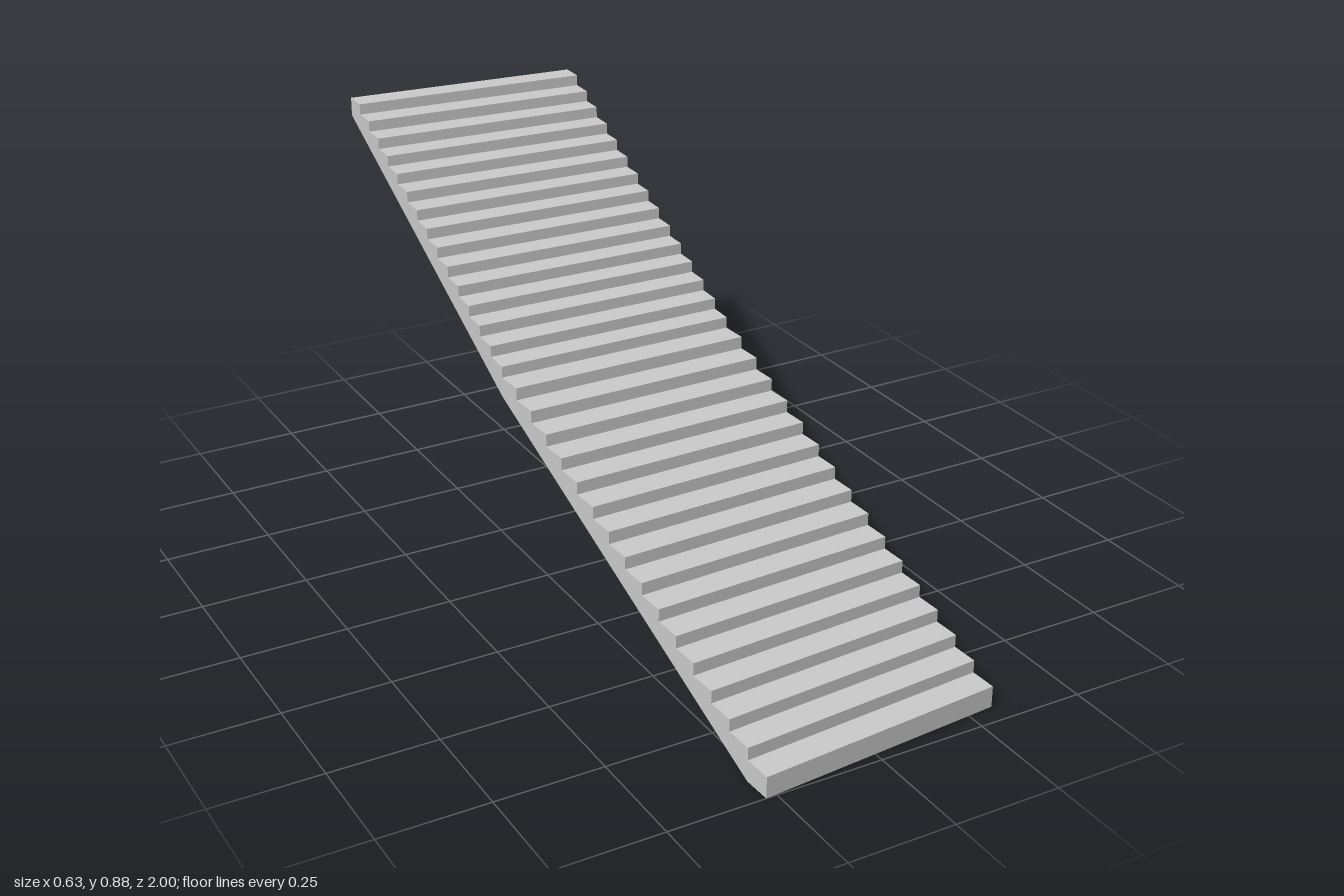
import * as THREE from 'three';

const LOWER = 16, UPPER = 15, COUNT = LOWER + UPPER;

// plan corners (x, z) of each flight's riser lines: foot, bend, head
const OUTER = [[-0.275, 1.0], [-0.315, -0.08], [-0.28, -1.0]];
const INNER = [[0.312, 0.95], [0.274, -0.08], [0.308, -0.955]];

const lerp = THREE.MathUtils.lerp;

// plan position of riser line k along one edge of the stair
function edgeAt(edge, k) {
  const s = k <= LOWER ? 0 : 1;
  const t = s === 0 ? k / LOWER : (k - LOWER) / UPPER;
  return [0, 1].map(i => lerp(edge[s][i], edge[s + 1][i], t));
}

// height of tread k, the lower flight being slightly steeper per step
const treadY = k => k < LOWER
  ? lerp(0.05, 0.487, k / (LOWER - 1))
  : lerp(0.487, 0.885, (k - LOWER + 1) / UPPER);

// height of the sloping underside at riser line k
const soffitY = k => k === 0 ? 0 : treadY(k - 1) - lerp(0.05, 0.046, (k - 1) / (COUNT - 1));

function flight(name, from, to, material) {
  const pos = [];
  const quad = (a, b, c, d) => pos.push(...a, ...b, ...c, ...a, ...c, ...d);
  const L = (k, y) => { const [x, z] = edgeAt(OUTER, k); return [x, y, z]; };
  const R = (k, y) => { const [x, z] = edgeAt(INNER, k); return [x, y, z]; };

  for (let k = from; k < to; k++) {
    const n = k + 1, y = treadY(k), below = k ? treadY(k - 1) : 0;
    const s0 = soffitY(k), s1 = soffitY(n);
    quad(L(k, below), R(k, below), R(k, y), L(k, y));   // riser
    quad(L(k, y), R(k, y), R(n, y), L(n, y));           // tread
    quad(R(k, s0), R(n, s1), R(n, y), R(k, y));         // inner side
    quad(L(n, s1), L(k, s0), L(k, y), L(n, y));         // outer side
    quad(L(n, s1), R(n, s1), R(k, s0), L(k, s0));       // underside
  }
  // end face at the head of the stair
  if (to === COUNT) {
    const y = treadY(COUNT - 1), s = soffitY(COUNT);
    quad(R(to, s), L(to, s), L(to, y), R(to, y));
  }

  const geometry = new THREE.BufferGeometry();
  geometry.setAttribute('position', new THREE.Float32BufferAttribute(pos, 3));
  geometry.computeVertexNormals();
  const mesh = new THREE.Mesh(geometry, material);
  mesh.name = name;
  return mesh;
}

export function createModel() {
  const group = new THREE.Group();
  group.name = 'staircase';
  const material = new THREE.MeshStandardMaterial({ color: 0xcccccc, flatShading: true });
  group.add(flight('lowerFlight', 0, LOWER, material));
  group.add(flight('upperFlight', LOWER, COUNT, material));
  return group;
}
